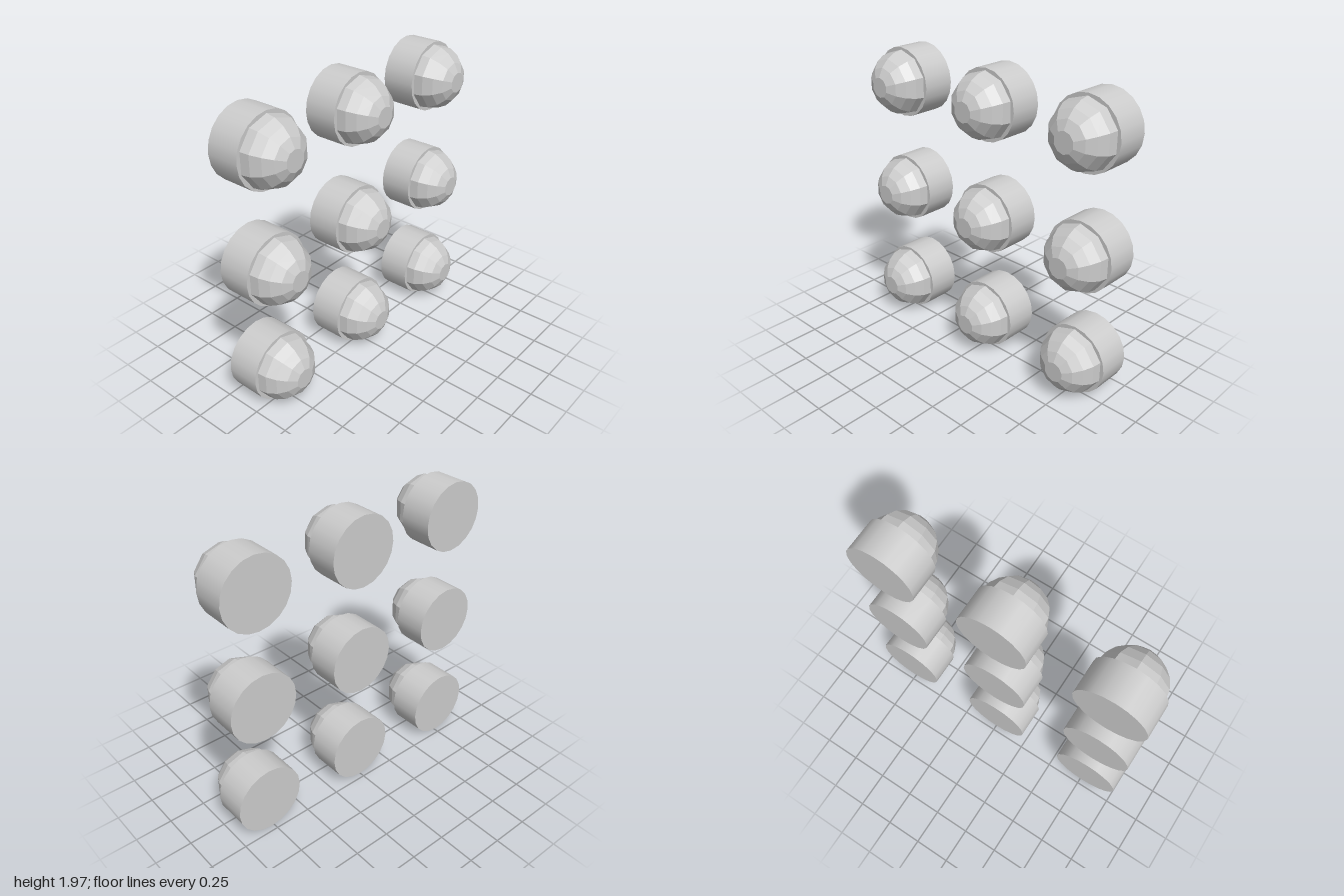
import * as THREE from 'three';

const AXIS_X = -Math.PI / 2; // turns +y onto +x

export function createModel() {
  const group = new THREE.Group();
  group.name = 'studGrid';
  const smooth = new THREE.MeshStandardMaterial({ color: 0xcccccc });
  const faceted = new THREE.MeshStandardMaterial({ color: 0xcccccc, flatShading: true });

  // Round housing, flat back at x = -0.21
  const back = -0.213, front = 0.01;
  const housing = new THREE.CylinderGeometry(0.235, 0.235, front - back, 20);
  housing.rotateZ(AXIS_X).translate((back + front) / 2, 0, 0);

  // Ten-sided dome: hemisphere rings every 18 degrees, ending in a small flat cap
  const r = 0.22;
  const profile = [];
  for (let i = 0; i <= 4; i++) {
    const a = (i * Math.PI) / 10;
    profile.push(new THREE.Vector2(r * Math.cos(a), r * Math.sin(a)));
  }
  profile.push(new THREE.Vector2(0, profile[4].y));
  const dome = new THREE.LatheGeometry(profile, 10, Math.PI / 2);
  dome.rotateZ(AXIS_X);

  // Three rows by three columns, facing +x
  [0.237, 0.965, 1.732].forEach((y, row) => {
    [0.765, 0, -0.765].forEach((z, col) => {
      const stud = new THREE.Group();
      stud.name = `stud${row + 1}_${col + 1}`;
      const body = new THREE.Mesh(housing, smooth);
      body.name = 'housing';
      const cap = new THREE.Mesh(dome, faceted);
      cap.name = 'dome';
      stud.add(body, cap);
      stud.position.set(0, y, z);
      group.add(stud);
    });
  });
  return group;
}
